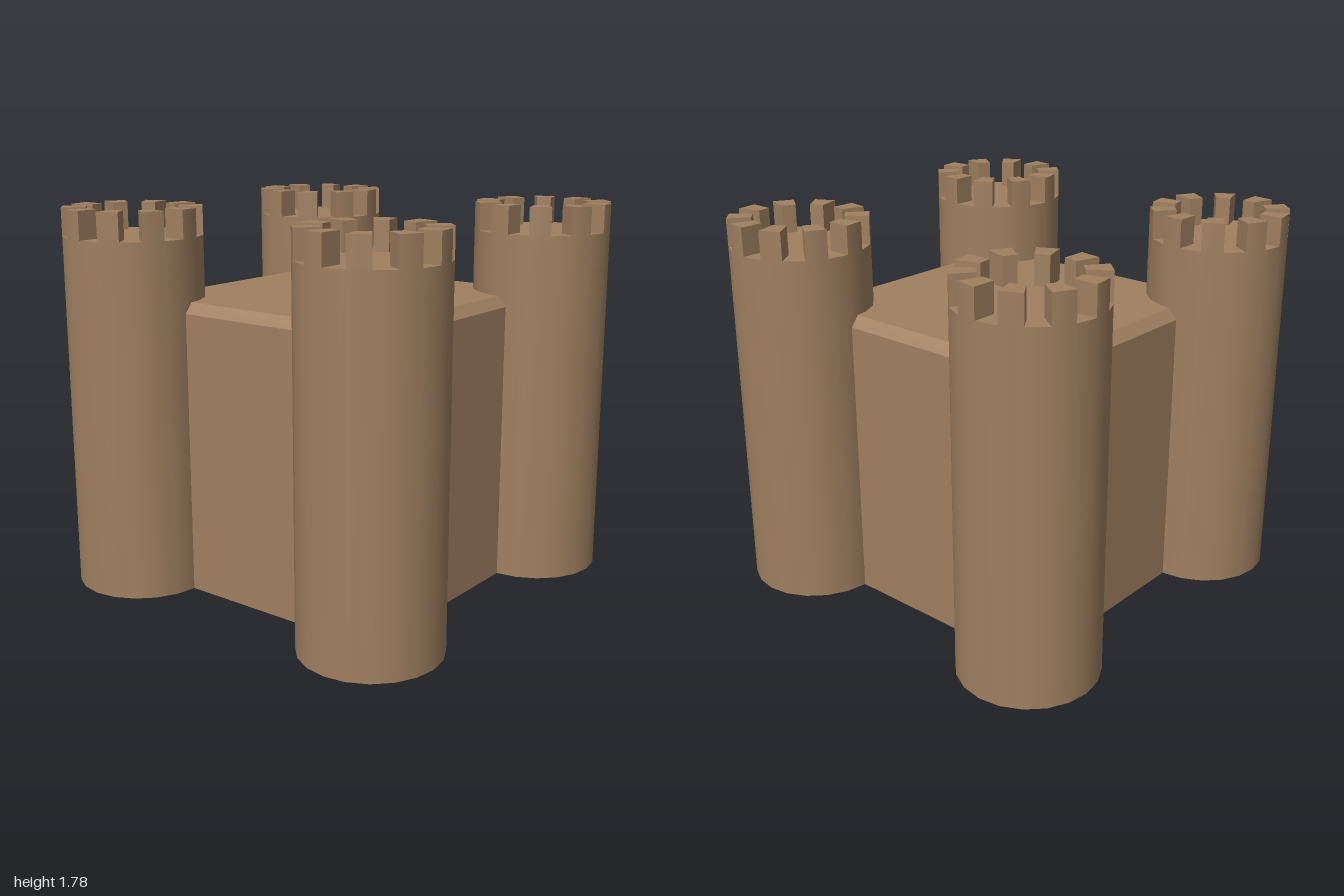
import * as THREE from 'three';

const SIDES = 20, RADIUS = 0.32, INNER = 0.21;
const FLOOR = 1.655, TOP = 1.785, OFFSET = 0.68;
const STEP = (Math.PI * 2) / SIDES;

// One wedge-shaped merlon covering a single side of the tower
function merlonGeometry(a) {
  const b = a + STEP;
  const at = (r, t) => new THREE.Vector2(r * Math.cos(t), r * Math.sin(t));
  const shape = new THREE.Shape([at(INNER, a), at(RADIUS, a), at(RADIUS, b), at(INNER, b)]);
  const geo = new THREE.ExtrudeGeometry(shape, { depth: TOP - FLOOR, bevelEnabled: false });
  geo.rotateX(-Math.PI / 2);
  // Round the shading of the outer face so it continues the tower wall
  const p = geo.attributes.position, n = geo.attributes.normal;
  for (let i = 0; i < p.count; i++) {
    const r = Math.hypot(p.getX(i), p.getZ(i));
    const x = p.getX(i) / r, z = p.getZ(i) / r;
    if (n.getX(i) * x + n.getZ(i) * z > 0.9) n.setXYZ(i, x, 0, z);
  }
  return geo.translate(0, FLOOR, 0);
}

export function createModel() {
  const model = new THREE.Group();
  model.name = 'castle';
  const stone = new THREE.MeshStandardMaterial({ color: 0xa08060 });
  const flatStone = new THREE.MeshStandardMaterial({ color: 0xa08060, flatShading: true });

  // Square keep with a chamfered roof edge
  const k = Math.SQRT2;
  const profile = [[0, 0], [OFFSET * k, 0], [OFFSET * k, 1.32], [0.635 * k, 1.367], [0, 1.367]]
    .map(([x, y]) => new THREE.Vector2(x, y));
  const keep = new THREE.Mesh(new THREE.LatheGeometry(profile, 4, Math.PI / 4), flatStone);
  keep.name = 'keep';
  model.add(keep);

  // Shared tower geometry
  const wallGeo = new THREE.CylinderGeometry(RADIUS, RADIUS, FLOOR, SIDES).translate(0, FLOOR / 2, 0);
  const merlonGeos = [];
  for (let i = 0; i < SIDES; i += 2) merlonGeos.push(merlonGeometry(Math.PI / 2 + i * STEP));

  // Four corner towers
  for (const [sx, side] of [[1, 'left'], [-1, 'right']]) {
    for (const [sz, end] of [[1, 'front'], [-1, 'back']]) {
      const tower = new THREE.Group();
      tower.name = `${end} ${side} tower`;
      const wall = new THREE.Mesh(wallGeo, stone);
      wall.name = 'towerWall';
      tower.add(wall);
      for (const geo of merlonGeos) {
        const merlon = new THREE.Mesh(geo, stone);
        merlon.name = 'merlon';
        tower.add(merlon);
      }
      tower.position.set(sx * OFFSET, 0, sz * OFFSET);
      model.add(tower);
    }
  }
  return model;
}
